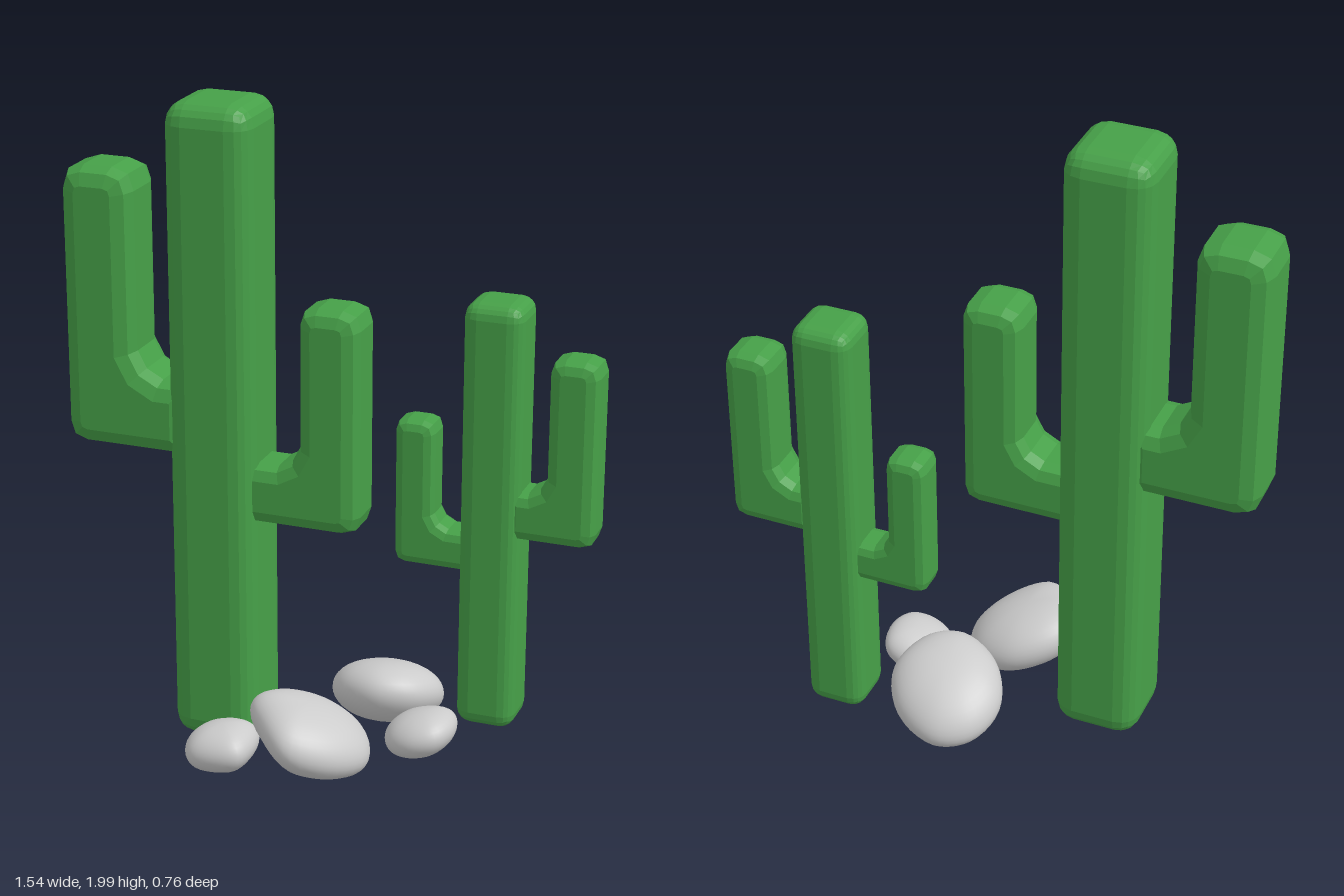
import * as THREE from 'three';
import { mergeVertices } from 'three/addons/utils/BufferGeometryUtils.js';
import { RoundedBoxGeometry } from 'three/addons/geometries/RoundedBoxGeometry.js';

const green = new THREE.MeshStandardMaterial({ color: 0x46a048, flatShading: true });
const grey = new THREE.MeshStandardMaterial({ color: 0xcccccc });

function mesh(name, geometry, material) {
  const m = new THREE.Mesh(geometry, material);
  m.name = name;
  return m;
}

// Upright square column with soft, faceted edges
function trunk(name, x, z, width, depth, bottom, top) {
  const g = new RoundedBoxGeometry(width, top - bottom, depth, 2, width * 0.25);
  g.translate(x, (top + bottom) / 2, z);
  return mesh(name, g, green);
}

// L-shaped arm: outer x, root x inside the trunk, thickness w, with a filleted elbow
function arm(name, outer, root, z, w, bottom, top) {
  const s = Math.sign(root - outer); // direction toward the trunk
  const r = w * 0.3, f = w * 0.36, b = w * 0.24;
  const inner = outer + s * w, shelf = bottom + w;
  const p = new THREE.Shape();
  p.moveTo(root, bottom);
  p.lineTo(outer + s * r, bottom);
  p.quadraticCurveTo(outer, bottom, outer, bottom + r);
  p.lineTo(outer, top - r);
  p.quadraticCurveTo(outer, top, outer + s * r, top);
  p.lineTo(inner - s * r, top);
  p.quadraticCurveTo(inner, top, inner, top - r);
  p.lineTo(inner, shelf + f);
  p.quadraticCurveTo(inner + s * f * 0.2, shelf + f * 0.2, inner + s * f, shelf);
  p.lineTo(root, shelf);
  p.closePath();
  const depth = w - 2 * b;
  const g = new THREE.ExtrudeGeometry(p, {
    depth, curveSegments: 2, bevelSegments: 2,
    bevelSize: b, bevelThickness: b, bevelOffset: -b,
  });
  g.translate(0, 0, z - depth / 2);
  return mesh(name, g, green);
}

// Smooth stone: plan outline [x, z] swept over a rounded, tilted height
function rock(name, [cx, cy, cz], outline, h, slopeX, slopeZ) {
  const curve = new THREE.CatmullRomCurve3(
    outline.map(([x, z]) => new THREE.Vector3(x - cx, 0, z - cz)), true);
  const around = 40, rings = 20;
  const g = new THREE.SphereGeometry(1, around, rings);
  const pos = g.attributes.position, v = new THREE.Vector3();
  for (let i = 0; i < pos.count; i++) {
    const col = i % (around + 1), row = Math.floor(i / (around + 1));
    const t = row / rings * Math.PI;
    curve.getPoint((col % around) / around, v);
    v.multiplyScalar(row % rings === 0 ? 0 : Math.pow(Math.sin(t), 0.9));
    pos.setXYZ(i, cx + v.x, cy + h * Math.cos(t) + slopeX * v.x + slopeZ * v.z, cz + v.z);
  }
  g.deleteAttribute('normal');
  g.deleteAttribute('uv');
  const welded = mergeVertices(g, 1e-5);
  welded.computeVertexNormals();
  return mesh(name, welded, grey);
}

export function createModel() {
  const model = new THREE.Group();
  model.name = 'cactusGroup';

  // Tall cactus
  const tall = new THREE.Group();
  tall.name = 'tallCactus';
  tall.add(
    trunk('tallTrunk', -0.307, 0.005, 0.265, 0.27, 0.03, 2),
    arm('tallRightArm', -0.775, -0.38, 0.007, 0.222, 0.93, 1.78),
    arm('tallLeftArm', 0.14, -0.24, 0.007, 0.185, 0.745, 1.425),
  );

  // Short cactus
  const short = new THREE.Group();
  short.name = 'shortCactus';
  short.add(
    trunk('shortTrunk', 0.452, -0.265, 0.183, 0.183, 0.065, 1.41),
    arm('shortRightArm', 0.148, 0.41, -0.265, 0.124, 0.555, 1.015),
    arm('shortLeftArm', 0.77, 0.5, -0.265, 0.15, 0.685, 1.26),
  );

  // Stones; outlines run counter-clockwise seen from above, starting at -x
  const stones = new THREE.Group();
  stones.name = 'stones';
  stones.add(
    rock('frontStone', [0.02, 0.127, 0.16], [
      [-0.165, 0.16], [-0.11, 0.25], [0.01, 0.345], [0.13, 0.285],
      [0.2, 0.15], [0.15, 0.03], [0.02, -0.01], [-0.11, 0.05],
    ], 0.103, -0.3, 0.07),
    rock('backStone', [0.135, 0.127, -0.2], [
      [-0.04, -0.21], [0.02, -0.09], [0.15, -0.033], [0.26, -0.08],
      [0.315, -0.21], [0.25, -0.33], [0.11, -0.385], [0, -0.33],
    ], 0.103, 0.07, 0.3),
    rock('smallFrontStone', [-0.212, 0.102, 0.272], [
      [-0.322, 0.28], [-0.285, 0.36], [-0.2, 0.38], [-0.125, 0.36],
      [-0.108, 0.275], [-0.13, 0.19], [-0.2, 0.163], [-0.29, 0.195],
    ], 0.072, 0.12, 0),
    rock('smallSideStone', [0.31, 0.102, -0.018], [
      [0.2, -0.02], [0.235, 0.06], [0.31, 0.092], [0.385, 0.07],
      [0.417, -0.01], [0.39, -0.105], [0.31, -0.128], [0.23, -0.1],
    ], 0.069, 0.22, 0),
  );

  model.add(tall, short, stones);
  return model;
}
